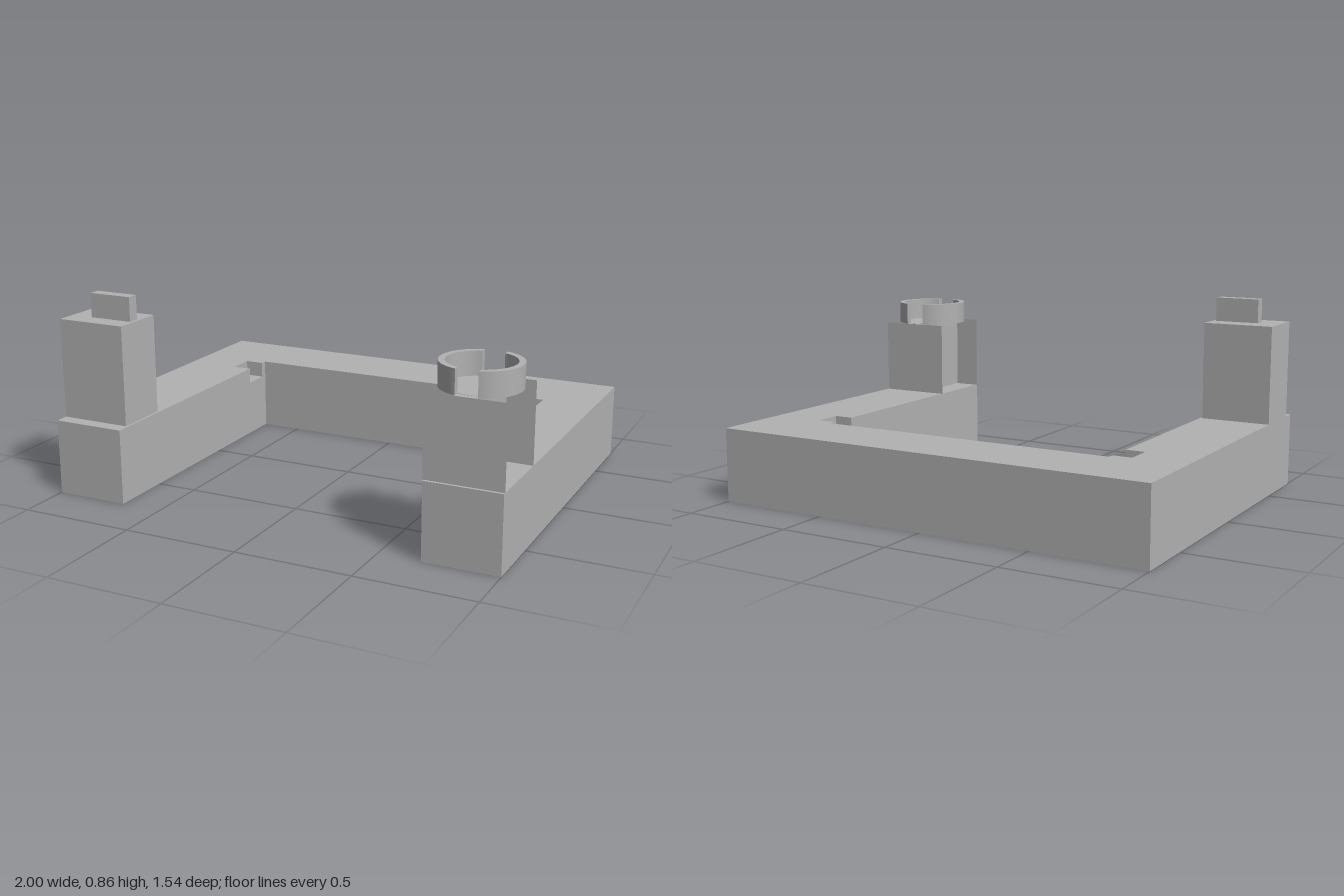
import * as THREE from 'three';
import { toCreasedNormals } from 'three/addons/utils/BufferGeometryUtils.js';

export function createModel() {
  const group = new THREE.Group();
  const grey = new THREE.MeshStandardMaterial({ color: 0xb2b2b2 });
  grey.name = 'plain grey';

  const add = (name, geometry) => {
    const mesh = new THREE.Mesh(geometry, grey);
    mesh.name = name;
    group.add(mesh);
    return mesh;
  };

  // Box given by its limits on each axis
  const box = (name, x0, x1, y0, y1, z0, z1) =>
    add(name, new THREE.BoxGeometry(x1 - x0, y1 - y0, z1 - z0)
      .translate((x0 + x1) / 2, (y0 + y1) / 2, (z0 + z1) / 2));

  // Plan outline (x, -z) raised between two heights
  const raise = (shape, y0, y1) =>
    new THREE.ExtrudeGeometry(shape, { depth: y1 - y0, bevelEnabled: false, curveSegments: 32 })
      .rotateX(-Math.PI / 2).translate(0, y0, 0);
  const plan = (points) => new THREE.Shape(points.map(([x, z]) => new THREE.Vector2(x, -z)));

  // U-shaped base: plain lower layer, upper layer with two notches
  const inner = 0.68, end = 0.77, bar = -0.455, top = 0.325, notchFloor = 0.255;
  const half = [[inner, end], [1, end], [1, -end]];
  const notch = [[inner, bar], [inner, -0.425], [0.765, -0.425], [0.765, -0.305], [inner, -0.305]];
  const mirrored = (pts) => pts.map(([x, z]) => [-x, z]).reverse();
  add('baseLower', raise(plan([...half, ...mirrored(half), [-inner, bar], [inner, bar]]), 0, notchFloor));
  add('baseUpper', raise(plan([...half, ...mirrored(half), ...mirrored(notch), ...notch]), notchFloor, top));

  // Right post with its upright tab
  box('tabPost', -1, -0.69, top, 0.755, 0.475, 0.71);
  box('tab', -0.9, -0.705, 0.755, 0.86, 0.575, 0.625);

  // Left post with a vertical slot front and back
  const cx = 0.8375, cz = 0.595, r = 0.1625, gap = 0.045, depth = 0.06, postTop = 0.665;
  const corner = [[r, r], [gap, r], [gap, r - depth]];
  const side = [...corner, ...corner.map(([x, z]) => [x, -z]).reverse()];
  const slotted = [...side, ...side.map(([x, z]) => [-x, -z])];
  add('slottedPost', raise(plan(slotted), top, postTop)).position.set(cx, 0, cz);

  // Thin floor of the socket, overhanging the slots
  const rIn = 0.137;
  add('socketFloor', new THREE.CylinderGeometry(rIn, rIn, 0.008, 64))
    .position.set(cx, postTop - 0.003, cz);

  // Two curved halves of the split ring
  const outerEnd = Math.PI / 2 - Math.asin(gap / r);
  const innerEnd = Math.PI / 2 - Math.asin(gap / rIn);
  for (const [name, turn] of [['ringHalfLeft', 0], ['ringHalfRight', Math.PI]]) {
    const arc = new THREE.Shape();
    arc.absarc(0, 0, r, -outerEnd, outerEnd, false);
    arc.absarc(0, 0, rIn, innerEnd, -innerEnd, true);
    const ring = add(name, toCreasedNormals(raise(arc, postTop, 0.765), 0.6));
    ring.position.set(cx, 0, cz);
    ring.rotation.y = turn;
  }

  return group;
}
